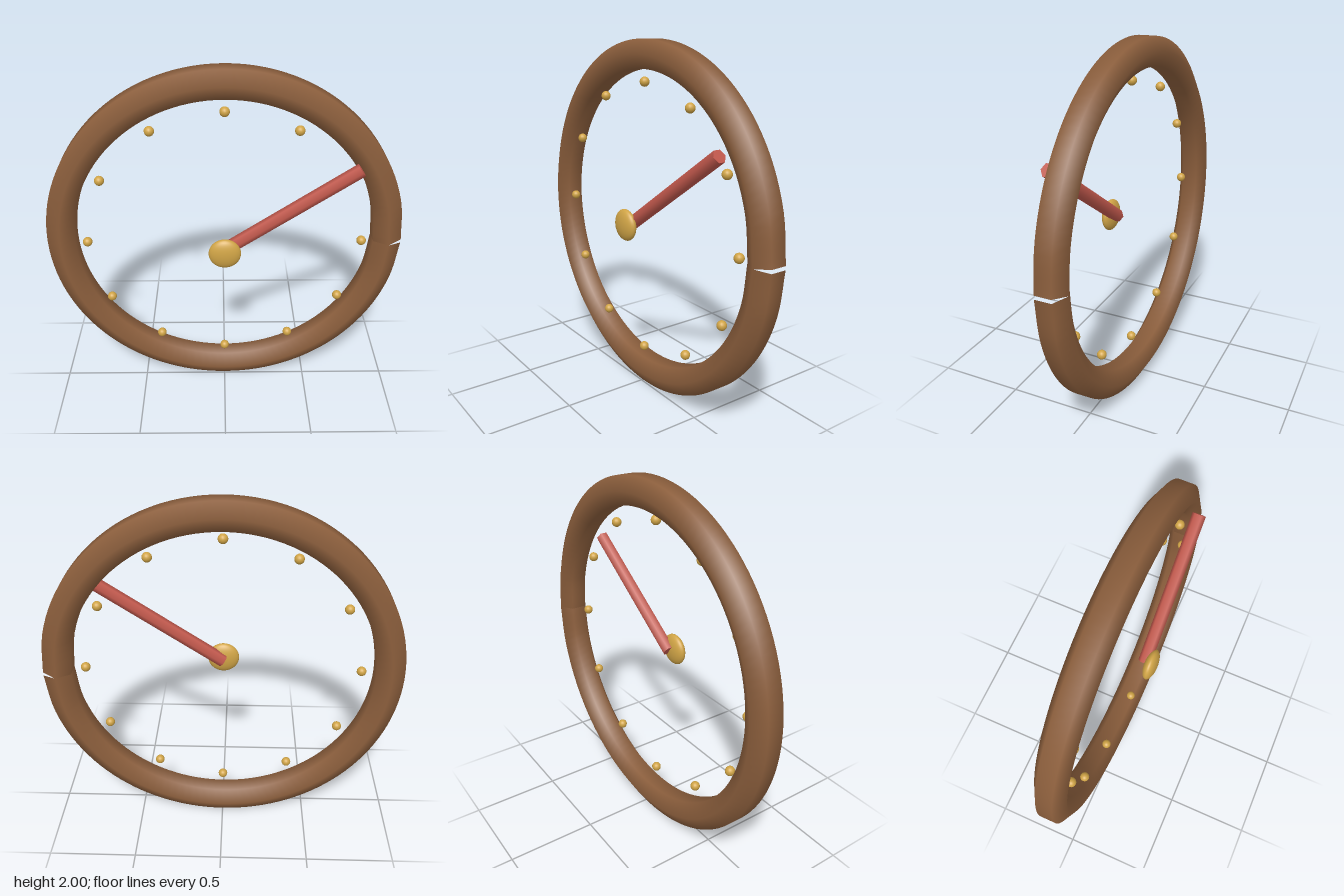
import * as THREE from 'three';

export function createModel() {
  const model = new THREE.Group();
  model.name = 'clock';

  const material = (name, color) => {
    const m = new THREE.MeshStandardMaterial({ color });
    m.name = name;
    return m;
  };
  const wood = material('brown wood', 0x8b5e3c);
  const red = material('red hand', 0xc1584c);
  const brass = material('brass', 0xd0a446);

  const add = (name, geometry, mat, x, y, z) => {
    const mesh = new THREE.Mesh(geometry, mat);
    mesh.name = name;
    mesh.position.set(x, y, z);
    model.add(mesh);
    return mesh;
  };

  // Bent wooden rim: six-sided tube whose ends meet in a small notch on the left
  const rimPoints = [];
  for (let i = 0; i <= 24; i++) {
    const a = (i / 24) * Math.PI * 2;
    rimPoints.push(new THREE.Vector3(0.922 * Math.cos(a), 0.922 * Math.sin(a), 0));
  }
  const rimCurve = new THREE.CatmullRomCurve3(rimPoints);
  add('rim', new THREE.TubeGeometry(rimCurve, 120, 0.09, 6, false), wood, 0, 1, -0.055);

  // Twelve hour beads
  const bead = new THREE.SphereGeometry(0.027, 16, 12);
  for (let i = 0; i < 12; i++) {
    const a = (i / 12) * Math.PI * 2;
    add('hourBead' + (i + 1), bead, brass, 0.777 * Math.sin(a), 1 + 0.777 * Math.cos(a), -0.02);
  }

  // Six-sided hand running out from the centre
  const tip = new THREE.Vector2(0.712, 0.49);
  const hand = add('hand', new THREE.CylinderGeometry(0.0375, 0.0375, tip.length(), 6),
    red, tip.x / 2, 1 + tip.y / 2, 0.068);
  hand.rotation.z = tip.angle() - Math.PI / 2;

  // Flattened hub in front of the hand
  const hub = add('hub', new THREE.SphereGeometry(0.09, 32, 20), brass, 0, 1, 0.108);
  hub.scale.z = 0.42;

  return model;
}
